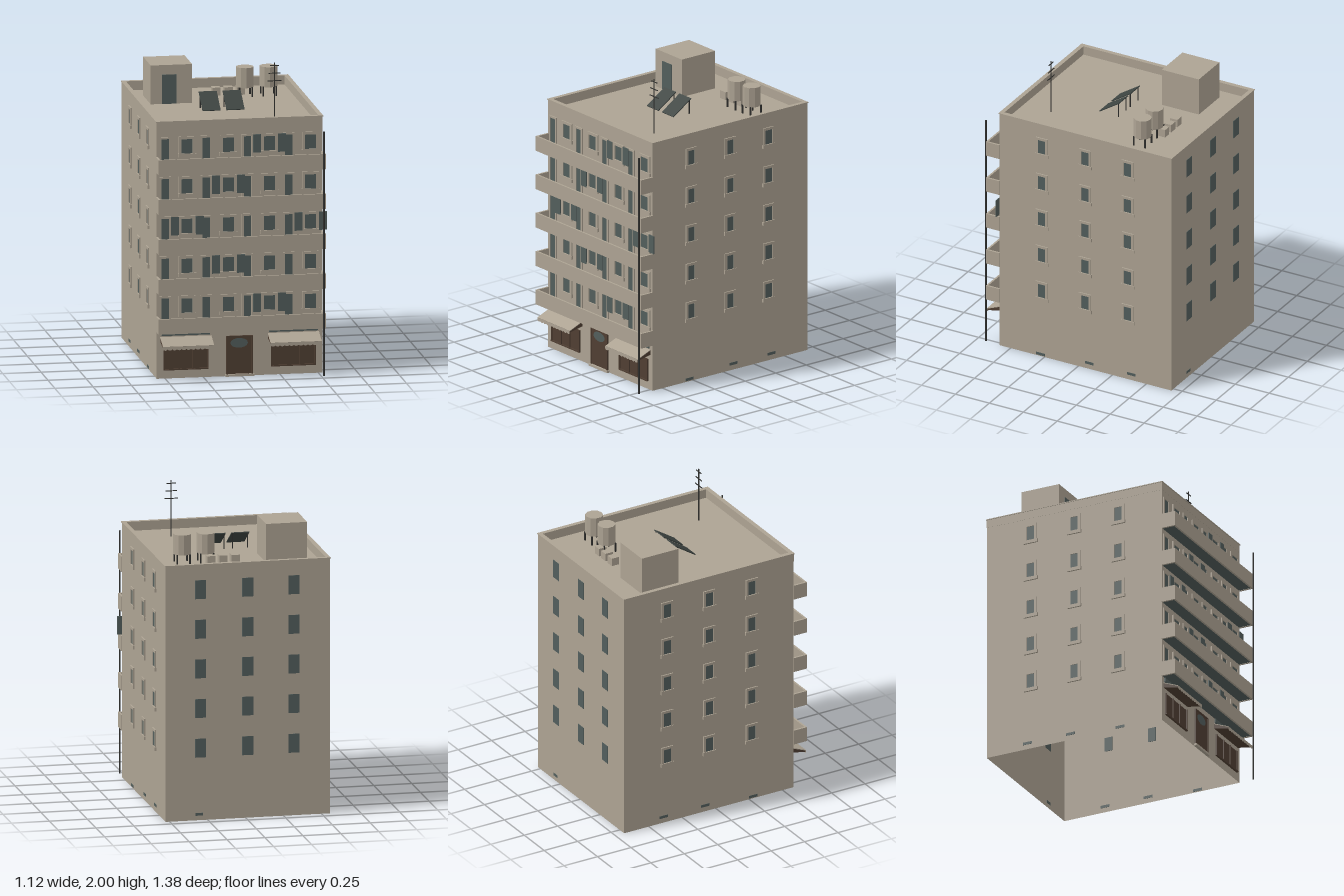
import * as THREE from 'three';

const mat = (name, color, side = THREE.FrontSide) => {
  const m = new THREE.MeshStandardMaterial({ color, side });
  m.name = name;
  return m;
};

export function createModel() {
  const root = new THREE.Group();
  root.name = 'apartmentBuilding';
  const plaster = mat('plaster', 0xada393, THREE.DoubleSide);
  const glass = mat('greyGreenGlass', 0x525e5c, THREE.DoubleSide);
  const wood = mat('brownWood', 0x503f33, THREE.DoubleSide);
  const metal = mat('darkMetal', 0x30302e);
  const panel = mat('solarPanel', 0x3d4441);

  const add = (name, geo, material, x = 0, y = 0, z = 0, parent = root) => {
    const m = new THREE.Mesh(geo, material);
    m.name = name;
    m.position.set(x, y, z);
    parent.add(m);
    return m;
  };
  // box given by its minimum and maximum corners
  const span = (name, material, x0, x1, y0, y1, z0, z1, parent = root) =>
    add(name, new THREE.BoxGeometry(x1 - x0, y1 - y0, z1 - z0), material,
      (x0 + x1) / 2, (y0 + y1) / 2, (z0 + z1) / 2, parent);

  const X0 = -0.555, X1 = 0.527, Z0 = -0.685, Z1 = 0.582, TOP = 1.69, ROOF = 1.63;
  const CX = (X0 + X1) / 2, CZ = (Z0 + Z1) / 2, W = X1 - X0, D = Z1 - Z0;
  const STEP = 0.2617;

  // walls, open underneath
  const wall = (name, w, x, z, turn) => {
    add(name, new THREE.PlaneGeometry(w, TOP), plaster, x, TOP / 2, z).rotation.y = turn;
  };
  wall('frontWall', W, CX, Z1, 0);
  wall('backWall', W, CX, Z0, Math.PI);
  wall('leftWall', D, X1, CZ, Math.PI / 2);
  wall('rightWall', D, X0, CZ, -Math.PI / 2);
  add('roof', new THREE.PlaneGeometry(W, D), plaster, CX, ROOF, CZ).rotation.x = -Math.PI / 2;

  // parapet ring and thin coping
  const ring = (name, out, y, h) => {
    const s = new THREE.Shape(), p = new THREE.Path(), w = W / 2, d = D / 2, t = 0.024;
    s.moveTo(-w - out, -d - out).lineTo(w + out, -d - out).lineTo(w + out, d + out).lineTo(-w - out, d + out);
    p.moveTo(-w + t, -d + t).lineTo(-w + t, d - t).lineTo(w - t, d - t).lineTo(w - t, -d + t);
    s.holes.push(p);
    const g = new THREE.ExtrudeGeometry(s, { depth: h, bevelEnabled: false });
    add(name, g.rotateX(-Math.PI / 2), plaster, CX, y, CZ);
  };
  ring('parapet', 0.001, ROOF, TOP - ROOF - 0.006);
  ring('coping', 0.005, TOP - 0.006, 0.006);

  // framed opening facing +z, bottom centre at the origin
  const opening = (name, w, h, bar, sill) => {
    const g = new THREE.Group();
    g.name = name;
    const r = w / 2;
    span('pane', glass, -r + bar, r - bar, bar, h - bar, -0.003, 0.003, g);
    for (const s of [-1, 1]) {
      add('frameSide', new THREE.BoxGeometry(bar, h, 0.008), plaster, s * (r - bar / 2), h / 2, 0.004, g);
    }
    span('frameTop', plaster, -r + bar, r - bar, h - bar, h, 0, 0.008, g);
    if (sill) span('sill', plaster, -r - 0.005, r + 0.005, -0.006, bar, 0, 0.011, g);
    root.add(g);
    return g;
  };

  for (let f = 0; f < 5; f++) {
    const y = 0.31 + f * STEP;

    // balcony
    const bx0 = X0 - 0.005, bx1 = X1 + 0.005, bz = 0.68, t = 0.013;
    span('balconyFloor', glass, bx0 + t, bx1 - t, y + 0.002, y + 0.014, Z1, bz - t);
    span('balconyFront', plaster, bx0, bx1, y, y + 0.1, bz - t, bz);
    span('balconyEnd', plaster, bx0, bx0 + t, y, y + 0.1, Z1, bz - t);
    span('balconyEnd', plaster, bx1 - t, bx1, y, y + 0.1, Z1, bz - t);

    // balcony doors and windows with some shutters
    const shuttered = [[2], [1], [0, 3], [1], [2]][f];
    for (let i = 0; i < 4; i++) {
      const dx = -0.5 + i * 0.2685, wx = -0.357 + i * 0.2685;
      opening('balconyDoor', 0.075, 0.216, 0.013, false).position.set(dx, y + 0.014, Z1);
      opening('frontWindow', 0.108, 0.13, 0.018, true).position.set(wx, y + 0.1, Z1);
      if (!shuttered.includes(i)) continue;
      for (const s of [-1, 1]) {
        const c = wx + s * 0.081;
        span('shutter', glass, c - 0.026, c + 0.026, y + 0.108, y + 0.228, Z1 + 0.009, Z1 + 0.014);
      }
    }

    // side windows
    for (const z of [0.268, -0.05, -0.365]) {
      for (const s of [-1, 1]) {
        const o = opening('sideWindow', 0.088, 0.13, 0.017, true);
        o.position.set(s > 0 ? X1 : X0, y + 0.102, z);
        o.rotation.y = s * Math.PI / 2;
      }
    }
    // rear windows
    for (const x of [0.296, -0.014, -0.318]) {
      span('rearWindow', glass, x - 0.036, x + 0.036, y + 0.104, y + 0.228, Z0 - 0.003, Z0 + 0.003);
    }
  }

  // entrance
  span('entranceDoor', wood, -0.1, 0.07, 0.015, 0.265, Z1 - 0.003, Z1 + 0.006);
  for (const x of [-0.096, 0.066]) span('doorPost', wood, x - 0.005, x + 0.005, 0.015, 0.265, Z1, Z1 + 0.012);
  span('doorLintel', wood, -0.1, 0.07, 0.257, 0.265, Z1, Z1 + 0.012);
  const light = add('doorLight', new THREE.CircleGeometry(1, 20), glass, -0.018, 0.218, Z1 + 0.008);
  light.scale.set(0.057, 0.032, 1);
  span('entranceStep', plaster, -0.11, 0.08, 0, 0.015, Z1, 0.602);

  // shops with sign boards and sloping awnings
  for (const x of [-0.365, 0.337]) {
    span('shopWindow', wood, x - 0.147, x + 0.147, 0.06, 0.205, Z1 - 0.003, Z1 + 0.004);
    for (const dx of [-0.143, -0.045, 0.045, 0.143]) {
      span('shopMullion', wood, x + dx - 0.004, x + dx + 0.004, 0.06, 0.205, Z1, Z1 + 0.012);
    }
    span('shopSill', wood, x - 0.147, x + 0.147, 0.055, 0.063, Z1, Z1 + 0.014);
    span('signBoard', glass, x - 0.158, x + 0.158, 0.281, 0.309, Z1, Z1 + 0.008);

    const side = new THREE.Shape();
    side.moveTo(0, 0.268).lineTo(0.104, 0.226).lineTo(0.104, 0.217).lineTo(0, 0.238);
    const body = new THREE.ExtrudeGeometry(side, { depth: 0.33, bevelEnabled: false });
    add('awningUnderside', body.rotateY(-Math.PI / 2), wood, x + 0.165, 0, Z1);
    const top = add('awningCloth', new THREE.BoxGeometry(0.334, 0.004, 0.113), plaster, x, 0.25, Z1 + 0.052);
    top.rotation.x = Math.atan2(0.042, 0.104);

    // scalloped valance
    const edge = new THREE.Shape();
    edge.moveTo(-0.167, 0.23);
    edge.lineTo(-0.167, 0.212);
    const n = 11, r = 0.167 / n;
    for (let i = 0; i < n; i++) {
      const a = -0.167 + i * 2 * r;
      edge.quadraticCurveTo(a + r, 0.198, a + 2 * r, 0.212);
    }
    edge.lineTo(0.167, 0.23);
    add('awningValance', new THREE.ShapeGeometry(edge, 4), plaster, x, 0, 0.688);
  }

  // small ground vents
  for (const [z, y] of [[0.28, 0.015], [-0.08, 0.042], [-0.39, 0.042]]) {
    for (const x of [X0, X1]) span('vent', glass, x - 0.002, x + 0.002, y - 0.009, y + 0.009, z - 0.032, z + 0.032);
  }
  span('rearVent', glass, 0.28, 0.33, 0.03, 0.048, Z0 - 0.002, Z0 + 0.002);

  // drain pole
  add('cornerPole', new THREE.CylinderGeometry(0.006, 0.006, 1.605, 8), metal, 0.518, 0.8025, 0.687);

  // stair hut
  span('stairHut', plaster, -0.45, -0.18, ROOF, 1.885, -0.49, -0.217);
  span('hutDoor', glass, -0.377, -0.282, ROOF, 1.822, -0.217, -0.212);

  // water tanks on legs
  for (const x of [0.192, 0.347]) {
    const tank = add('waterTank', new THREE.CylinderGeometry(0.058, 0.058, 0.132, 10), plaster, x, 1.756, -0.372);
    tank.geometry = tank.geometry.toNonIndexed();
    tank.geometry.computeVertexNormals();
    for (const dx of [-0.042, 0.042]) for (const dz of [-0.042, 0.042]) {
      add('tankLeg', new THREE.BoxGeometry(0.009, 0.065, 0.009), metal, x + dx, 1.66, -0.372 + dz);
    }
  }

  // roof units
  for (const x of [0.013, 0.093, 0.173]) span('roofUnit', plaster, x - 0.027, x + 0.027, ROOF, 1.683, -0.455, -0.4);

  // solar panels
  for (const x of [-0.106, 0.05]) {
    const p = add('solarPanel', new THREE.BoxGeometry(0.118, 0.006, 0.173), panel, x, 1.687, 0.008);
    p.rotation.x = Math.atan2(0.095, 0.145);
    for (const dx of [-0.05, 0.05]) span('panelLeg', metal, x + dx - 0.003, x + dx + 0.003, ROOF, 1.725, -0.058, -0.052);
  }

  // aerial
  add('aerialMast', new THREE.CylinderGeometry(0.004, 0.004, 0.37, 6), metal, 0.255, 1.815, 0.355);
  for (const [y, r] of [[1.98, 0.03], [1.93, 0.038], [1.88, 0.045]]) {
    add('aerialArm', new THREE.BoxGeometry(2 * r, 0.005, 0.005), metal, 0.255, y, 0.355);
  }
  return root;
}
